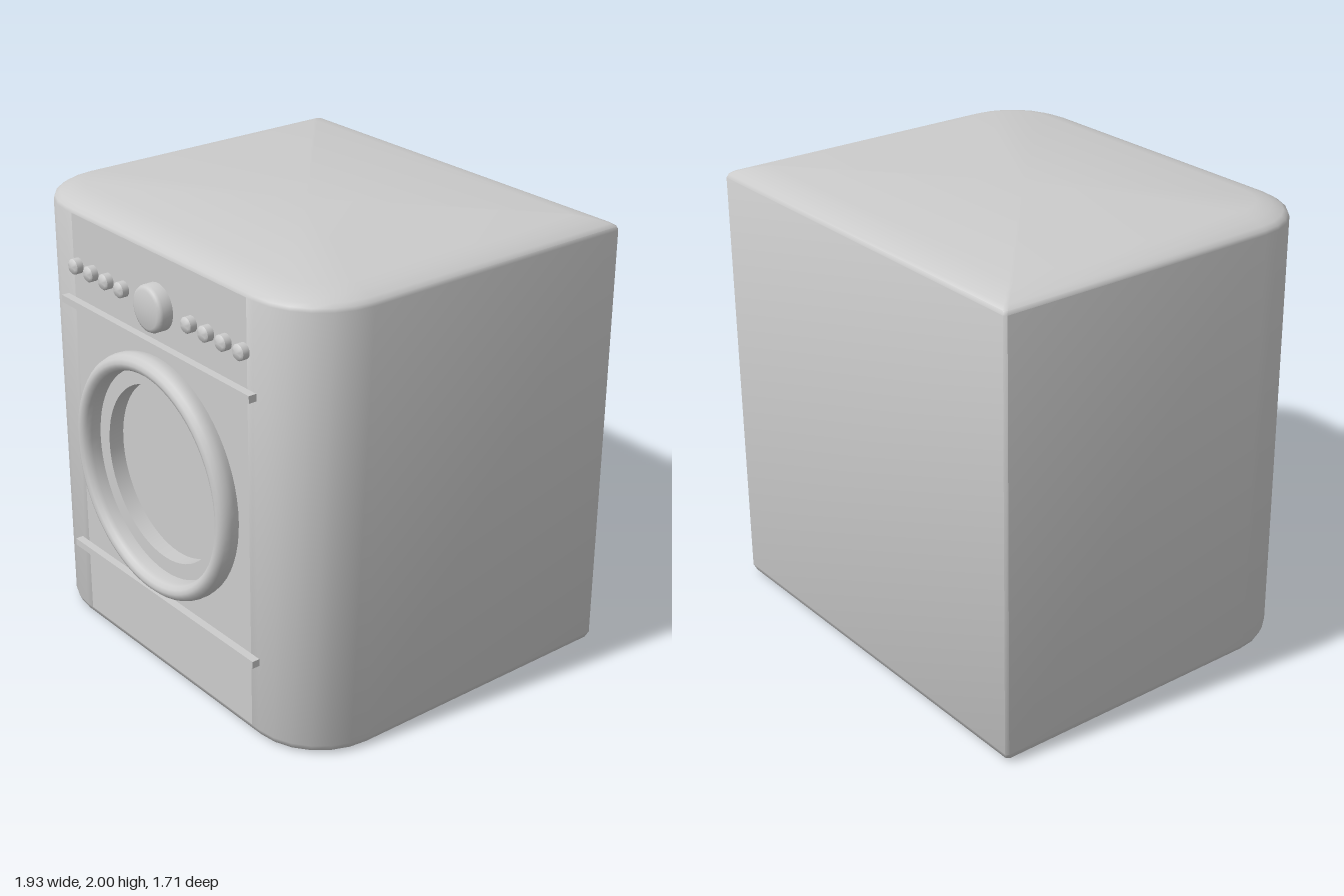
import * as THREE from 'three';
import { toCreasedNormals } from 'three/addons/utils/BufferGeometryUtils.js';

const material = new THREE.MeshStandardMaterial({ color: 0xcccccc });
const FRONT = 0.77, BACK = -0.855, HALF = 0.965, RADIUS = 0.32;
const PANEL = 0.6, LOW = 0.04, HIGH = 1.94, DOOR_Y = 0.96, HOLE = 0.39;

function add(parent, name, geometry, x = 0, y = 0, z = 0) {
  const mesh = new THREE.Mesh(geometry, material);
  mesh.name = name;
  mesh.position.set(x, y, z);
  parent.add(mesh);
  return mesh;
}

// Turned part whose axis points to the front; profile is [radius, z]
function turned(profile, segments) {
  const points = profile.map(([r, z]) => new THREE.Vector2(r, z));
  return toCreasedNormals(new THREE.LatheGeometry(points, segments).rotateX(Math.PI / 2), 0.75);
}

// Plan outline, inset by d: rounded front corners, sharp back corners
function outline(d) {
  const half = [[PANEL, FRONT - d]];
  const steps = 6;
  for (let i = 0; i <= steps; i++) {
    const a = (i / steps) * Math.PI / 2;
    half.push([HALF - RADIUS + (RADIUS - d) * Math.sin(a), FRONT - RADIUS + (RADIUS - d) * Math.cos(a)]);
  }
  half.push([HALF - d, BACK + 0.012 + d], [HALF - 0.012 - d, BACK + d]);
  return [...half, ...half.map(([x, z]) => [-x, z]).reverse()];
}

// Housing lofted from stacked outlines, leaving the front panel open
function housingGeometry() {
  const layers = [[0, 0.03], [0.012, 0.012], [LOW, 0], [HIGH, 0], [1.955, 0.006],
    [1.968, 0.025], [1.985, 0.07], [2, 0.135]];
  const positions = [], index = [];
  let n = 0;
  for (const [y, inset] of layers) {
    const ring = outline(inset);
    n = ring.length;
    for (const [x, z] of ring) positions.push(x, y, z);
  }
  for (let j = 0; j < layers.length - 1; j++) {
    for (let i = 0; i < n; i++) {
      if (i === n - 1 && layers[j][0] === LOW) continue;
      const k = (i + 1) % n, a = j * n + i, b = j * n + k;
      index.push(a, b, b + n, a, b + n, a + n);
    }
  }
  // Top and bottom caps
  const top = (layers.length - 1) * n, centre = positions.length / 3;
  positions.push(0, 0, 0, 0, 2, 0);
  for (let i = 0; i < n; i++) {
    const k = (i + 1) % n;
    index.push(centre, k, i, centre + 1, top + i, top + k);
  }
  const geometry = new THREE.BufferGeometry();
  geometry.setAttribute('position', new THREE.Float32BufferAttribute(positions, 3));
  geometry.setIndex(index);
  return toCreasedNormals(geometry, 0.75);
}

export function createModel() {
  const model = new THREE.Group();
  model.name = 'washingMachine';

  add(model, 'housing', housingGeometry());

  // Flat front panel with the round door opening
  const panel = new THREE.Shape([
    new THREE.Vector2(-PANEL, LOW), new THREE.Vector2(PANEL, LOW),
    new THREE.Vector2(PANEL, HIGH), new THREE.Vector2(-PANEL, HIGH)]);
  panel.holes.push(new THREE.Path().absarc(0, DOOR_Y, HOLE, 0, Math.PI * 2, true));
  add(model, 'frontPanel', new THREE.ShapeGeometry(panel, 32), 0, 0, FRONT);

  // Door: raised rounded rim and recessed window
  const door = new THREE.Group();
  door.name = 'door';
  door.position.set(0, DOOR_Y, FRONT);
  model.add(door);
  add(door, 'doorRim', turned([[0.53, -0.005], [0.537, 0.02], [0.537, 0.04], [0.53, 0.063], [0.515, 0.079],
    [0.497, 0.085], [0.479, 0.08], [0.466, 0.065], [0.46, 0.045], [0.46, -0.005]], 64));
  add(door, 'doorWindow', turned([[HOLE, 0], [HOLE, -0.07], [0, -0.07]], 64));

  // Trim strips above and below the door
  for (const [name, y] of [['upperTrim', 1.55], ['lowerTrim', 0.37]]) {
    add(model, name, new THREE.BoxGeometry(1.31, 0.032, 0.045), 0, y, FRONT + 0.0125);
  }

  // Control knob and two rows of buttons
  add(model, 'controlKnob', turned([[0.1, -0.01], [0.1, 0.045], [0.094, 0.057], [0.08, 0.063], [0, 0.066]], 32),
    0.02, 1.72, FRONT);
  const button = turned([[0.034, -0.01], [0.034, 0.03], [0.026, 0.038], [0, 0.041]], 20);
  for (const start of [-0.56, 0.247]) {
    for (let i = 0; i < 4; i++) add(model, 'button', button, start + i * 0.1125, 1.72, FRONT);
  }
  return model;
}
